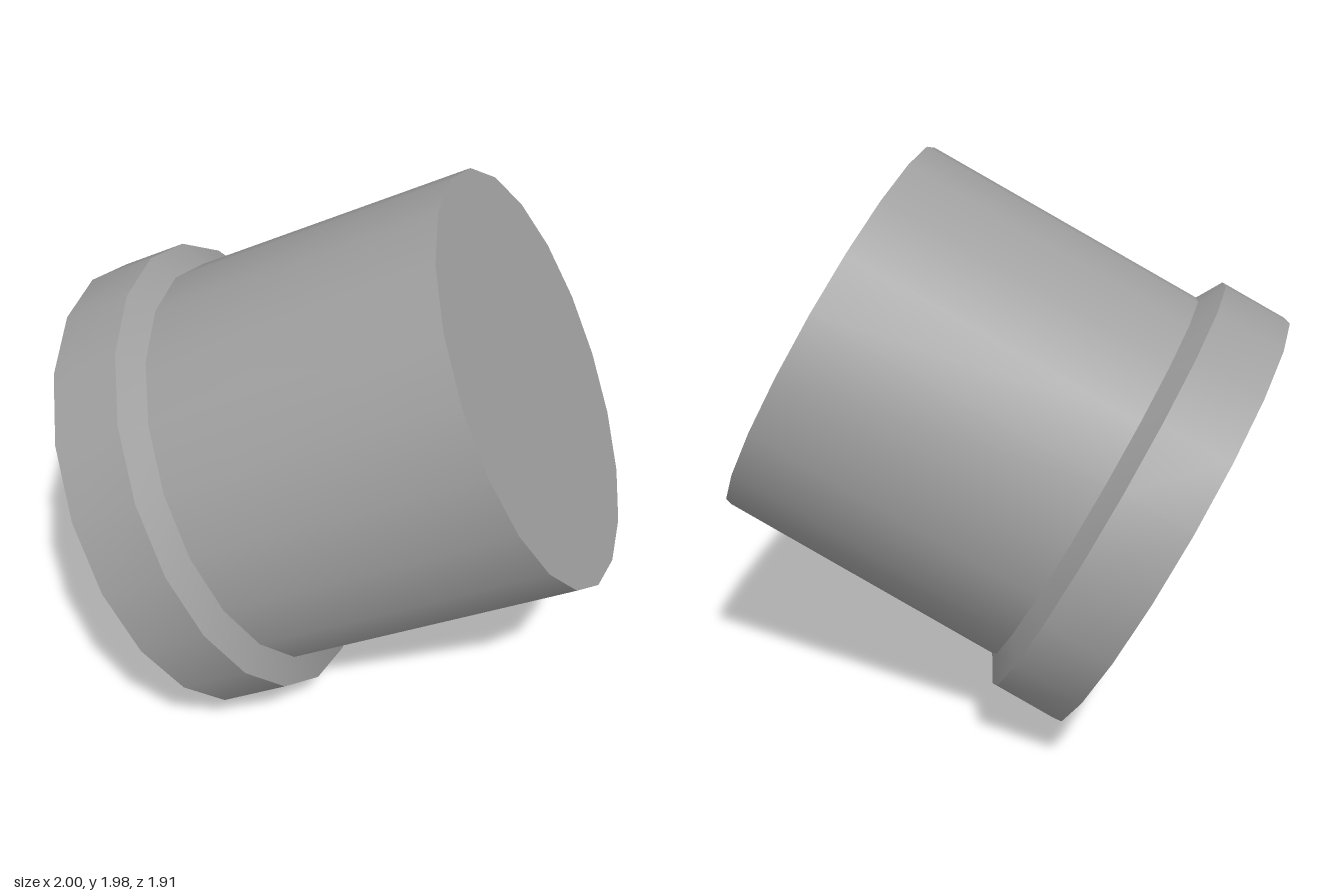
import * as THREE from 'three';
import { toCreasedNormals } from 'three/addons/utils/BufferGeometryUtils.js';

const SIDES = 20;

// Turned part with smooth sides and sharp rims
function turned(name, profile, material) {
  const points = profile.map(([r, y]) => new THREE.Vector2(r, y));
  const lathe = new THREE.LatheGeometry(points, SIDES, Math.PI / SIDES);
  const mesh = new THREE.Mesh(toCreasedNormals(lathe, Math.PI / 7), material);
  mesh.name = name;
  return mesh;
}

export function createModel() {
  const material = new THREE.MeshStandardMaterial({ color: 0xa0a0a0 });
  const bodyR = 0.727, rimR = 0.82, floorR = 0.705, height = 1.37, recess = 0.11;

  const cap = new THREE.Group();
  cap.name = 'tiltedCap';

  // Drum with a flat closed end
  cap.add(turned('body', [[bodyR, 0.3], [bodyR, height], [0, height]], material));

  // Collar with a bevelled shoulder
  cap.add(turned('rim', [[bodyR, 0], [rimR, 0], [rimR, 0.25], [bodyR, 0.305]], material));

  // Shallow recess, bevelled towards its floor
  cap.add(turned('recess', [[0, recess], [floorR, recess], [bodyR, 0.055], [bodyR, 0]], material));

  // Tilt the turning axis
  const axis = new THREE.Vector3(0.827, 0.455, 0.331).normalize();
  const up = new THREE.Vector3(0, 1, 0).addScaledVector(axis, -axis.y).normalize();
  const side = new THREE.Vector3().crossVectors(axis, up);
  cap.quaternion.setFromRotationMatrix(new THREE.Matrix4().makeBasis(side, axis, up));
  cap.position.set(-0.542, 0.724, -0.182);

  const model = new THREE.Group();
  model.name = 'model';
  model.add(cap);
  return model;
}
